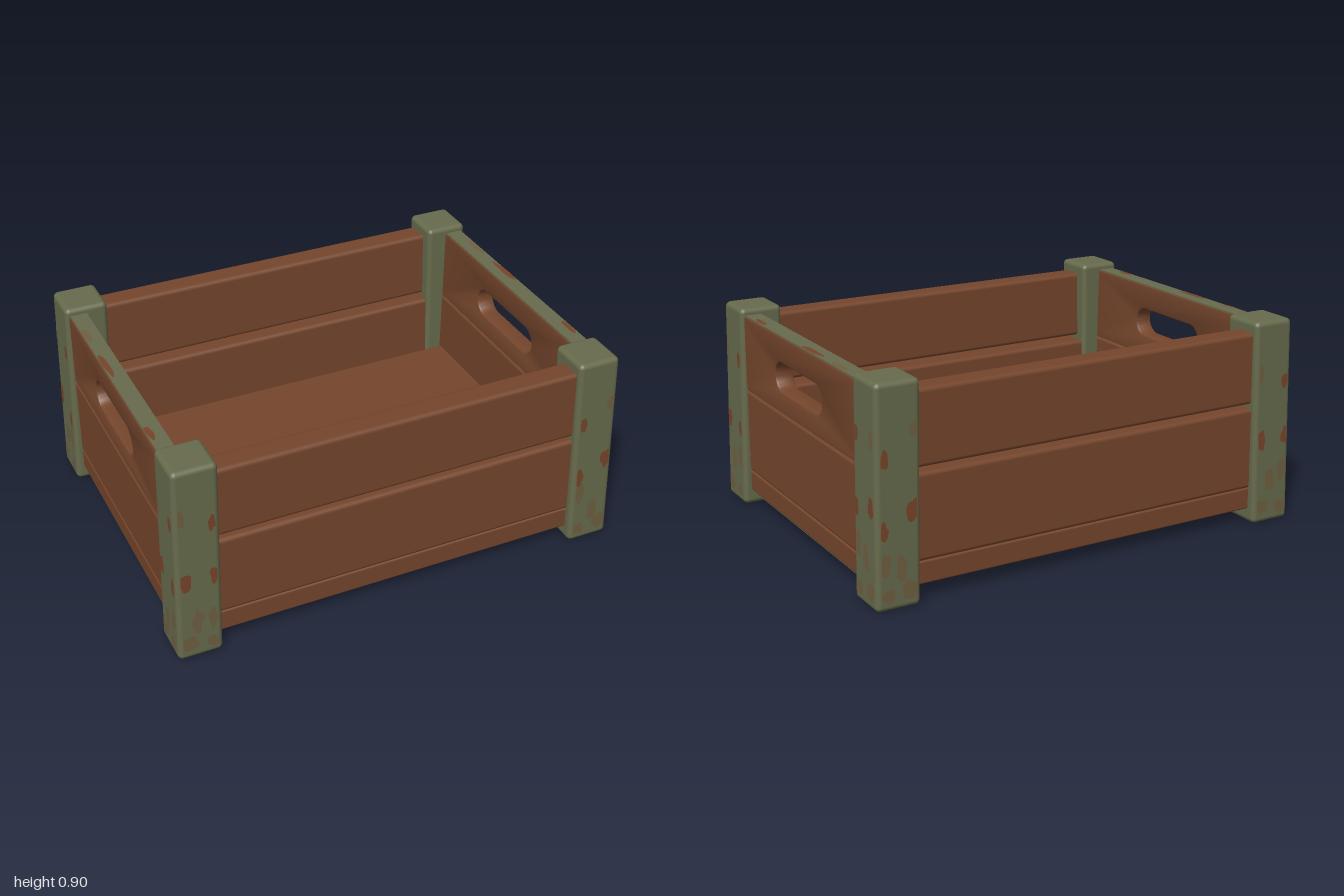
import * as THREE from 'three';
import { toCreasedNormals } from 'three/addons/utils/BufferGeometryUtils.js';
import { RoundedBoxGeometry } from 'three/addons/geometries/RoundedBoxGeometry.js';

const mat = (name, color) => {
  const m = new THREE.MeshStandardMaterial({ color });
  m.name = name;
  return m;
};

export function createModel() {
  const wood = mat('brown wood', 0x75462c);
  const paint = mat('faded green paint', 0x676b4c);
  const rust = mat('bare reddish wood', 0x78442a);
  const worn = mat('worn paint', 0x705f41);

  const crate = new THREE.Group();
  crate.name = 'crate';
  const add = (name, geometry, material, parent = crate) => {
    const mesh = new THREE.Mesh(geometry, material);
    mesh.name = name;
    parent.add(mesh);
    return mesh;
  };

  let seed = 11;
  const rand = () => (seed = (seed * 16807) % 2147483647) / 2147483647;

  // Rounded board given by its lower and upper corner
  const board = (name, [x0, y0, z0], [x1, y1, z1], r = 0.014) => {
    const g = new RoundedBoxGeometry(x1 - x0, y1 - y0, z1 - z0, 2, r);
    g.translate((x0 + x1) / 2, (y0 + y1) / 2, (z0 + z1) / 2);
    return add(name, g, wood);
  };

  // Uneven flat patch, kept inside a half width
  const patch = (u, v, ru, rv, limit) => {
    const pts = [];
    for (let i = 0; i < 11; i++) {
      const a = (i / 11) * Math.PI * 2;
      const k = 0.75 + 0.5 * rand();
      pts.push(new THREE.Vector2(
        THREE.MathUtils.clamp(u + Math.cos(a) * ru * k, -limit, limit), v + Math.sin(a) * rv * k));
    }
    return new THREE.ShapeGeometry(new THREE.Shape(new THREE.SplineCurve([...pts, pts[0]]).getPoints(22)
      .map((p) => p.set(THREE.MathUtils.clamp(p.x, -limit, limit), p.y))));
  };

  // Corner posts, splayed outward toward the ground
  const W = 0.19, D = 0.195, H = 0.9;
  for (const sx of [-1, 1]) for (const sz of [-1, 1]) {
    const post = new THREE.Group();
    post.name = `${sz > 0 ? 'front' : 'back'}${sx > 0 ? 'Left' : 'Right'}Post`;
    crate.add(post);
    const splay = (g) => {
      const p = g.attributes.position;
      for (let i = 0; i < p.count; i++) {
        const k = 1 - p.getY(i) / H;
        p.setX(i, p.getX(i) + sx * (0.885 + 0.02 * k));
        p.setZ(i, p.getZ(i) + sz * (0.657 + 0.015 * k));
      }
      return g;
    };
    add('postBody', splay(new RoundedBoxGeometry(W, H, D, 3, 0.022).translate(0, H / 2, 0)), paint, post);

    // Chipped paint on the two outer faces
    const faces = [
      [sz > 0 ? 0 : Math.PI, D / 2],
      [sx * Math.PI / 2, W / 2],
    ];
    for (const [turn, reach] of faces) {
      const chips = [
        [0.06, 0.38, 0.025, 0.045, rust], [-0.06, 0.64, 0.016, 0.035, rust],
        [-0.065, 0.36, 0.018, 0.04, rust], [0.065, 0.69, 0.016, 0.035, worn],
        [0.01, 0.17, 0.024, 0.055, worn], [-0.055, 0.22, 0.022, 0.05, worn],
        [0.05, 0.075, 0.035, 0.035, worn], [-0.05, 0.06, 0.03, 0.03, worn],
      ];
      const flip = rand() < 0.5 ? -1 : 1;
      for (const [u, v, ru, rv, m] of chips) {
        const g = patch(flip * u, v + (v > 0.1 ? (rand() - 0.5) * 0.08 : 0), ru, rv, 0.076);
        add('paintChip', splay(g.translate(0, 0, reach + 0.002).rotateY(turn)), m, post);
      }
    }
  }

  // Long front and back boards with an open gap between them
  for (const s of [-1, 1]) {
    const side = s > 0 ? 'front' : 'back';
    const span = (a, b) => (s > 0 ? [a, b] : [-b, -a]);
    const [u0, u1] = span(0.62, 0.73);
    board(`${side}UpperBoard`, [-0.87, 0.537, u0], [0.87, 0.85, u1], 0.018);
    const [l0, l1] = span(0.585, 0.733);
    board(`${side}LowerBoard`, [-0.87, 0.157, l0], [0.87, 0.518, l1], 0.018);
  }

  // Underside planks and raised floor
  const planks = 4, pw = 1.46 / planks;
  for (let i = 0; i < planks; i++) {
    const z = -0.73 + i * pw;
    board('basePlank', [-0.89, 0.062, z], [0.89, 0.158, z + pw], 0.008);
  }
  board('floor', [-0.9, 0.15, -0.565], [0.9, 0.25, 0.565], 0.008);

  // Upper end board outline with a rounded hand hole
  const outline = new THREE.Shape();
  outline.moveTo(-0.62, 0.53).lineTo(0.62, 0.53).lineTo(0.62, 0.868).lineTo(-0.62, 0.868).closePath();
  const hole = new THREE.Path();
  const r = 0.0625, cz = 0.235 - r, cy = 0.69;
  hole.absarc(cz, cy, r, -Math.PI / 2, Math.PI / 2, false);
  hole.absarc(-cz, cy, r, Math.PI / 2, Math.PI * 1.5, false);
  hole.closePath();
  outline.holes.push(hole);
  const bevel = 0.012, thick = 0.085;

  for (const s of [-1, 1]) {
    const side = s > 0 ? 'left' : 'right';
    const [x0, x1] = s > 0 ? [0.88, 0.965] : [-0.965, -0.88];
    const mid = (x0 + x1) / 2;
    const g = new THREE.ExtrudeGeometry(outline, {
      depth: thick - 2 * bevel, bevelThickness: bevel, bevelSize: bevel, bevelOffset: -bevel,
      bevelSegments: 2, curveSegments: 12,
    });
    g.translate(0, 0, -thick / 2 + bevel).rotateY(Math.PI / 2).translate(mid, 0, 0);
    add(`${side}HandleBoard`, toCreasedNormals(g, 0.7), wood);
    board(`${side}LowerBoard`, [x0, 0.158, -0.62], [x1, 0.53, 0.62]);
    board(`${side}BaseBoard`, [x0, 0.063, -0.62], [x1, 0.158, 0.62], 0.01);

    // Painted upper and lower edges
    for (const y of [0.867, 0.063]) {
      add(`${side}PaintedEdge`, new THREE.BoxGeometry(thick - 0.012, 0.008, 1.16).translate(mid, y, 0), paint);
    }
    for (const [z, len] of [[-0.42, 0.05], [0.12, 0.09], [0.38, 0.06]]) {
      const chip = patch(s * 0.022, z, 0.014, len, 0.036).rotateX(-Math.PI / 2);
      add('edgeChip', chip.translate(mid, 0.8725, 0), z > 0.3 ? worn : rust);
    }
  }
  return crate;
}
